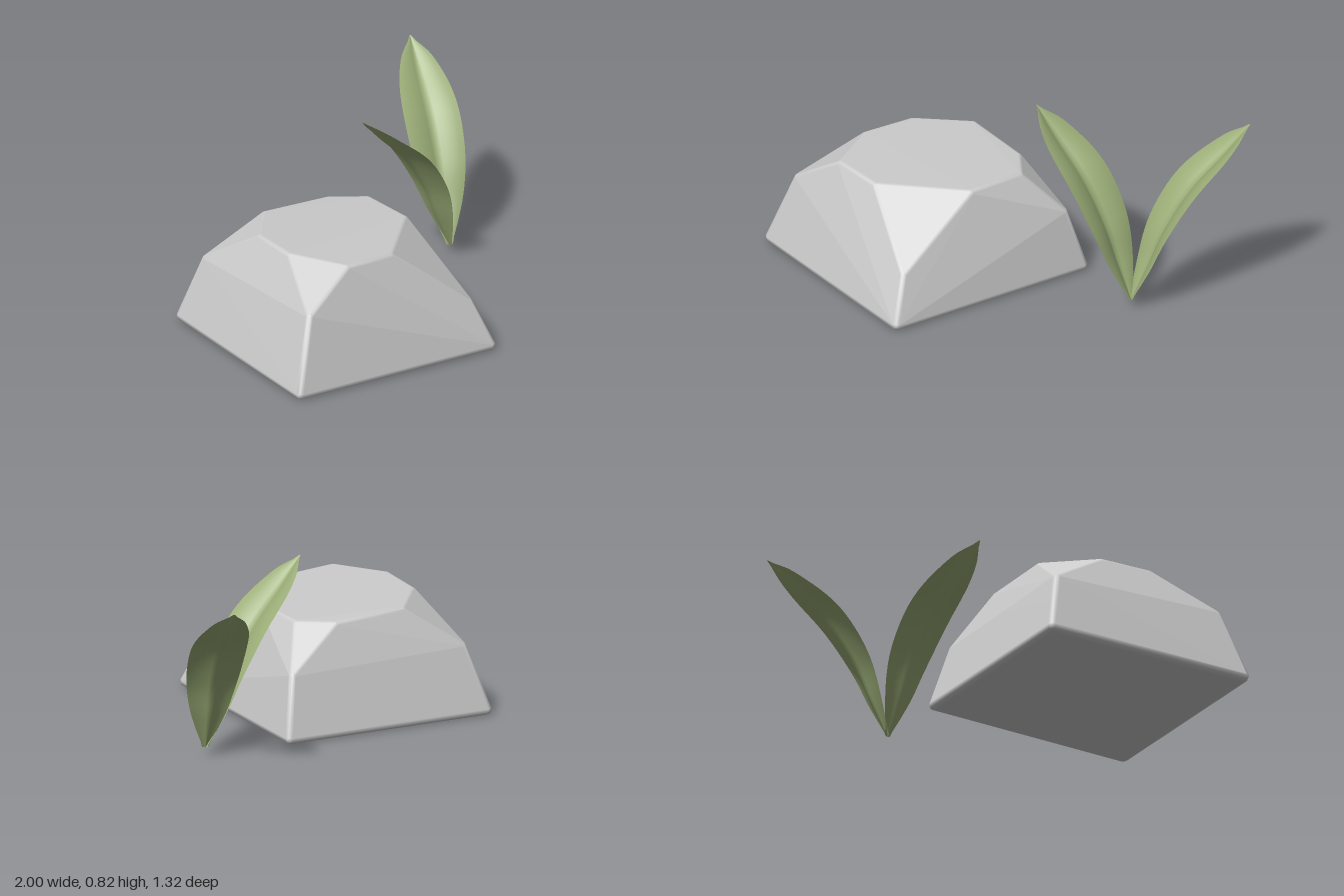
import * as THREE from 'three';
import { ConvexGeometry } from 'three/addons/geometries/ConvexGeometry.js';

const V = (x, y, z) => new THREE.Vector3(x, y, z);

// Convex block with softly bevelled edges: each corner is pushed out along its
// face normals, and their in-between directions, by the bevel radius.
function bevelledHull(corners, radius) {
  const core = new ConvexGeometry(corners);
  const pos = core.attributes.position, nor = core.attributes.normal;
  const points = new Map();
  corners.forEach((c) => {
    const normals = [];
    for (let i = 0; i < pos.count; i++) {
      const p = V().fromBufferAttribute(pos, i);
      if (p.distanceTo(c) > 1e-5) continue;
      const n = V().fromBufferAttribute(nor, i);
      if (!normals.some((m) => m.dot(n) > 0.9999)) normals.push(n);
    }
    const sum = normals.reduce((a, n) => a.add(n), V(0, 0, 0));
    for (const a of normals) {
      for (const b of [...normals, sum]) {
        const p = a.clone().add(b).setLength(radius).add(c);
        points.set(p.toArray().map((v) => v.toFixed(4)).join(), p);
      }
    }
  });
  const geo = new ConvexGeometry([...points.values()]);
  // Normals point away from the nearest core corner
  const P = geo.attributes.position, N = geo.attributes.normal;
  for (let i = 0; i < P.count; i++) {
    const p = V().fromBufferAttribute(P, i);
    const near = corners.reduce((a, c) => (c.distanceTo(p) < a.distanceTo(p) ? c : a));
    const n = p.sub(near).normalize();
    N.setXYZ(i, n.x, n.y, n.z);
  }
  return geo;
}

// Leaf growing along +x and upward, folded along its midrib
function leafGeometry() {
  const spine = new THREE.CatmullRomCurve3([
    V(0, 0.04, 0), V(0.07, 0.2, 0), V(0.14, 0.36, 0),
    V(0.27, 0.55, 0), V(0.44, 0.705, 0), V(0.56, 0.815, 0),
  ]);
  const halfWidths = new THREE.SplineCurve(
    [0.015, 0.05, 0.083, 0.105, 0.12, 0.127, 0.128, 0.12, 0.1, 0.065, 0.003]
      .map((w, i) => new THREE.Vector2(i / 10, w)));
  const geo = new THREE.PlaneGeometry(2, 1, 12, 32);
  const pos = geo.attributes.position;
  for (let i = 0; i < pos.count; i++) {
    const u = pos.getX(i), t = THREE.MathUtils.clamp(pos.getY(i) + 0.5, 0, 1);
    const p = spine.getPointAt(t), d = spine.getTangentAt(t);
    const w = halfWidths.getPoint(t).y;
    // steep beside the midrib, flattening toward the rim
    const lift = w * 0.27 * (0.6 - (1 - Math.abs(u)) ** 2);
    pos.setXYZ(i, p.x - d.y * lift, p.y + d.x * lift, u * w);
  }
  geo.computeVertexNormals();
  return geo;
}

export function createModel() {
  const model = new THREE.Group();

  // Rock: square base turned on its axis, sloped sides, four chamfered corners.
  // Per corner: base, foot of chamfer, and the two top ends of the chamfer.
  const r = 0.025, cx = -0.345, cz = -0.005;
  const rockCorners = [
    [[-1.0, 0, 0.3], [-0.87, 0.36, 0.255], [-0.62, 0.51, 0.275], [-0.68, 0.515, 0.0]],
    [[-0.04, 0, 0.655], [-0.075, 0.235, 0.55], [-0.38, 0.5, 0.34], [0.0, 0.49, 0.13]],
    [[0.31, 0, -0.31], [0.235, 0.305, -0.26], [0.08, 0.485, -0.14], [-0.03, 0.485, -0.28]],
    [[-0.635, 0, -0.66], [-0.58, 0.325, -0.555], [-0.36, 0.5, -0.39], [-0.59, 0.51, -0.24]],
  ].flat().map(([x, y, z]) => V(
    cx + (x - cx) * 0.966, y ? y - 0.02 : r, cz + (z - cz) * 0.966));
  const rock = new THREE.Mesh(
    bevelledHull(rockCorners, r),
    new THREE.MeshStandardMaterial({ color: 0xcccccc }));
  rock.name = 'rock';
  model.add(rock);

  // Two leaves from one root
  const leaves = new THREE.Group();
  leaves.name = 'leaves';
  leaves.position.set(0.67, 0, -0.14);
  const leafGeo = leafGeometry();
  const leafMat = new THREE.MeshStandardMaterial({ color: 0x9aac76, side: THREE.DoubleSide });
  [['leafOverRock', -0.56, -0.06], ['leafBackward', 0.33, -0.48]].forEach(([name, dx, dz]) => {
    const leaf = new THREE.Mesh(leafGeo, leafMat);
    leaf.name = name;
    leaf.rotation.y = Math.atan2(-dz, dx);
    leaves.add(leaf);
  });
  model.add(leaves);

  return model;
}
